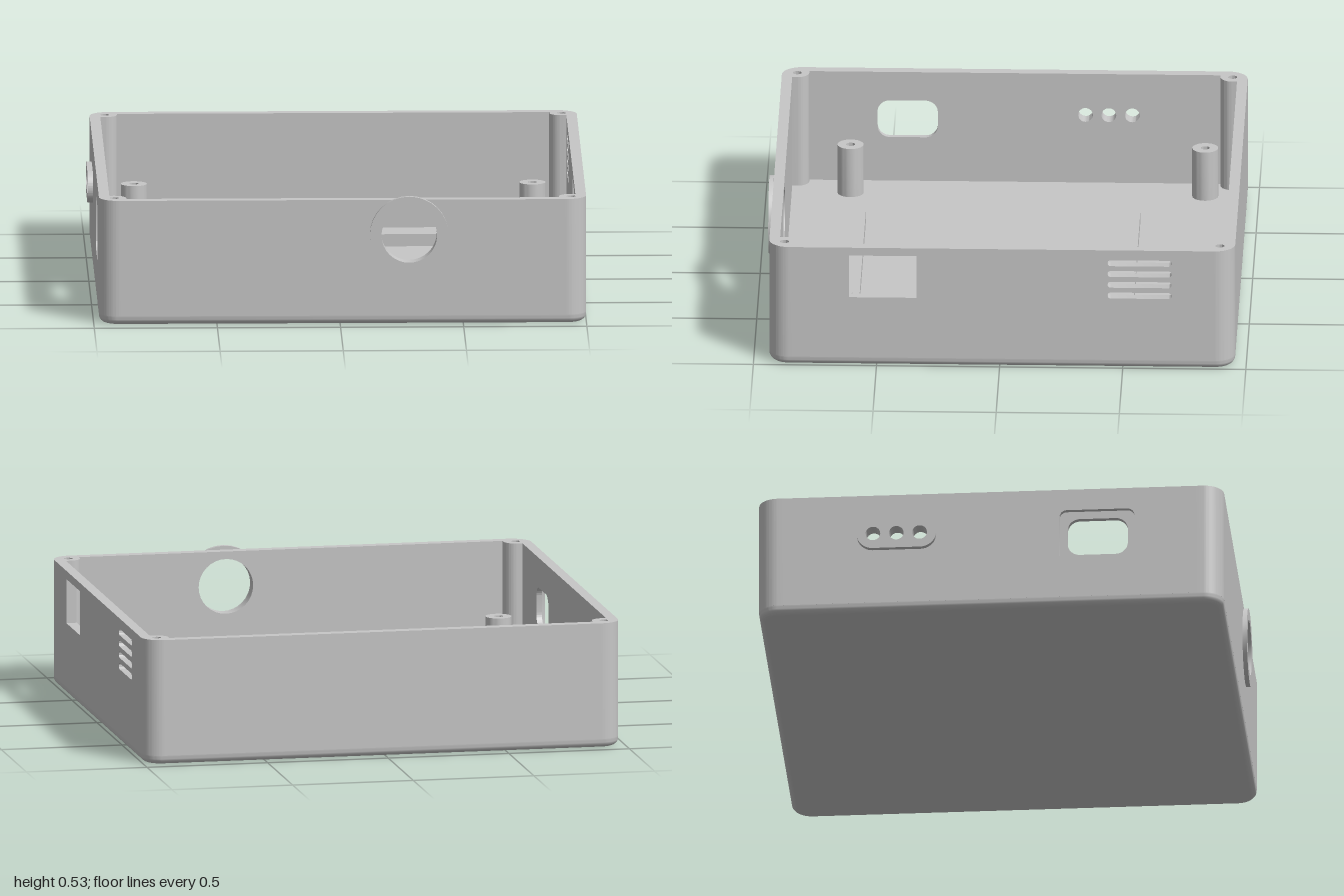
import * as THREE from 'three';
import { toCreasedNormals } from 'three/addons/utils/BufferGeometryUtils.js';

// Outer box limits
const X0 = -0.978, X1 = 1.0, Z0 = -0.955, Z1 = 0.937;
const H = 0.514, FLOOR = 0.04, WALL = 0.043, CORNER = 0.082, FILLET = 0.03;
const POST = 0.062, POST_R = 0.049, PIECE = POST + POST_R;
const BASE = FLOOR - 0.004; // walls sink slightly into the floor slab
const CX = (X0 + X1) / 2, CZ = (Z0 + Z1) / 2;

const grey = new THREE.MeshStandardMaterial({ color: 0xc6c6c6 });
grey.name = 'grey plastic';

// Rounded rectangle centred on (x, y); a full radius gives a slot
function roundRect(x, y, w, h, r, Type = THREE.Path) {
  const p = new Type(), a = w / 2 - r, b = h / 2 - r, q = Math.PI / 2;
  p.absarc(x + a, y + b, r, 0, q);
  p.absarc(x - a, y + b, r, q, 2 * q);
  p.absarc(x - a, y - b, r, 2 * q, 3 * q);
  p.absarc(x + a, y - b, r, 3 * q, 4 * q);
  p.closePath();
  return p;
}

function rect(x0, y0, x1, y1, Type = THREE.Path) {
  return new Type([[x0, y0], [x1, y0], [x1, y1], [x0, y1]].map(p => new THREE.Vector2(...p)));
}

const circle = (x, y, r, Type = THREE.Path) => new Type().absarc(x, y, r, 0, Math.PI * 2);

export function createModel() {
  const model = new THREE.Group();
  model.name = 'enclosure';

  function add(name, geometry) {
    const mesh = new THREE.Mesh(geometry, grey);
    mesh.name = name;
    model.add(mesh);
    return mesh;
  }

  function extrude(name, shape, holes, depth) {
    shape.holes.push(...holes);
    const g = new THREE.ExtrudeGeometry(shape, { depth, bevelEnabled: false, curveSegments: 16 });
    return add(name, toCreasedNormals(g, 0.6));
  }

  // Panel facing +z or -z, starting at the given z
  function panelZ(name, shape, holes, depth, z) {
    extrude(name, shape, holes, depth).position.z = z;
  }

  // Panel facing +x or -x, starting at the given x; shape coordinates are (-z, y)
  function panelX(name, shape, holes, depth, x) {
    const m = extrude(name, shape, holes, depth);
    m.rotation.y = Math.PI / 2;
    m.position.x = x;
  }

  // Lathed profile pulled apart into a rounded rectangle
  function slab(name, profile) {
    const g = new THREE.LatheGeometry(profile, 64, Math.PI / 64);
    const pos = g.attributes.position;
    for (let i = 0; i < pos.count; i++) {
      const x = pos.getX(i), z = pos.getZ(i);
      if (Math.hypot(x, z) < 1e-5) continue;
      pos.setX(i, x + Math.sign(x) * ((X1 - X0) / 2 - CORNER));
      pos.setZ(i, z + Math.sign(z) * ((Z1 - Z0) / 2 - CORNER));
    }
    add(name, toCreasedNormals(g, 0.5)).position.set(CX, 0, CZ);
  }

  // Floor: flat underside, filleted edge and flat top
  const edge = [];
  for (let i = 0; i <= 6; i++) {
    const a = (i / 6) * Math.PI / 2;
    edge.push(new THREE.Vector2(CORNER - FILLET * (1 - Math.sin(a)), FILLET * (1 - Math.cos(a))));
  }
  edge.push(new THREE.Vector2(CORNER, FLOOR));
  slab('underside', [new THREE.Vector2(0, 0), edge[0]]);
  slab('floorEdge', edge);
  slab('floor', [edge[edge.length - 1], new THREE.Vector2(0, FLOOR)]);

  // Corner pieces with screw posts, mirrored into each corner
  [[X0, Z0, 1, 1], [X1, Z0, -1, 1], [X0, Z1, 1, -1], [X1, Z1, -1, -1]].forEach(([x, z, sx, sz]) => {
    const s = new THREE.Shape();
    s.moveTo(CORNER, 0);
    s.lineTo(PIECE, 0);
    s.absarc(POST, POST, POST_R, 0, Math.PI / 2);
    s.lineTo(0, PIECE);
    s.lineTo(0, CORNER);
    s.absarc(CORNER, CORNER, CORNER, Math.PI, Math.PI * 1.5);
    const outline = s.getPoints(16).map(p => new THREE.Vector2(x + sx * p.x, -(z + sz * p.y)));
    const hole = circle(x + sx * POST, -(z + sz * POST), 0.018);
    const m = extrude('cornerPost', new THREE.Shape(outline), [hole], H - BASE);
    m.rotation.x = -Math.PI / 2;
    m.position.y = BASE;
  });

  // Front and back walls
  const wallZ = () => rect(X0 + PIECE, BASE, X1 - PIECE, H, THREE.Shape);
  panelZ('backWall', wallZ(), [], WALL, Z0);
  panelZ('frontWall', wallZ(), [circle(0.28, 0.37, 0.113)], WALL, Z1 - WALL);
  panelZ('frontRing', circle(0.28, 0.37, 0.16, THREE.Shape), [circle(0.28, 0.37, 0.113)], 0.018, Z1);

  // Wall at +x with a window and four vent slots
  const wallX = () => rect(-(Z1 - PIECE), BASE, -(Z0 + PIECE), H, THREE.Shape);
  const vents = [0, 1, 2, 3].map(i => roundRect(0.568, 0.317 + i * 0.047, 0.26, 0.026, 0.0129));
  panelX('ventWall', wallX(), [rect(-0.612, 0.298, -0.337, 0.48), ...vents], WALL, X1 - WALL);

  // Wall at -x in two layers: a recess outside, the socket opening inside
  const lights = () => [-1, 0, 1].map(i => circle(0.39 + i * 0.095, 0.335, 0.03));
  panelX('socketWallOuter', wallX(),
    [roundRect(-0.425, 0.31, 0.305, 0.225, 0.03), ...lights()], 0.02, X0);
  panelX('socketWallInner', wallX(),
    [roundRect(-0.427, 0.31, 0.245, 0.16, 0.05), ...lights()], WALL - 0.02, X0 + 0.02);
  panelX('lightPlate', roundRect(0.39, 0.335, 0.323, 0.13, 0.0649, THREE.Shape), lights(), 0.022, -1);

  // Standoffs on the floor
  const tube = [[0.053, FLOOR], [0.053, 0.25], [0.018, 0.25], [0.018, FLOOR]].map(p => new THREE.Vector2(...p));
  for (const x of [-0.8, 0.818]) {
    for (const z of [-0.785, 0.655]) {
      add('standoff', toCreasedNormals(new THREE.LatheGeometry(tube, 32), 0.6)).position.set(x, 0, z);
    }
  }

  // Guide ribs
  for (const z of [-0.52, 0.594]) {
    add('rib', new THREE.BoxGeometry(1.26, 0.05, 0.02)).position.set(0.137, FLOOR + 0.025, z);
  }

  return model;
}
